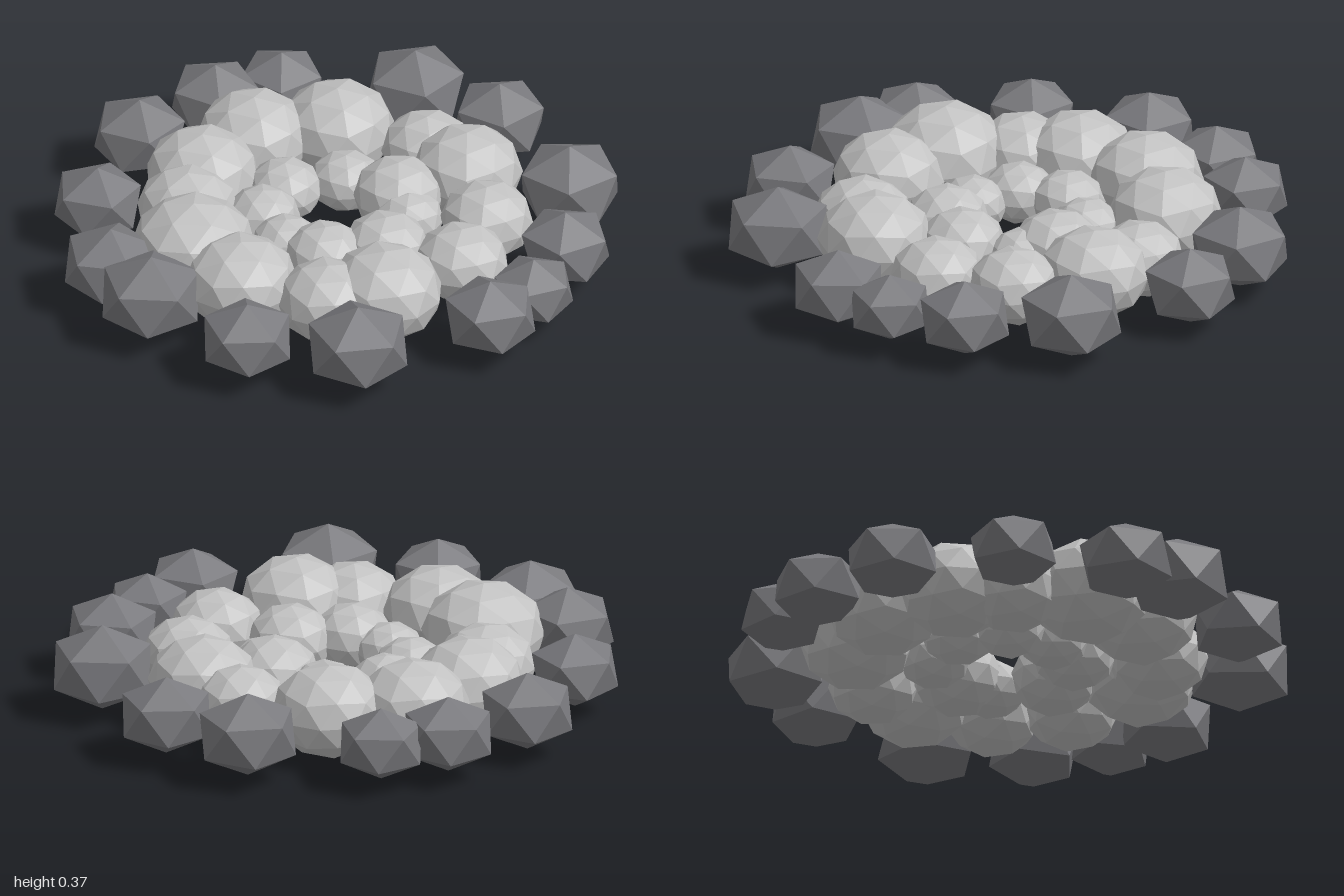
import * as THREE from 'three';

// Each lump: x, z, radius
const OUTER_PUFFS = [
  [-0.05, -0.55, 0.207], [0.28, -0.48, 0.165], [0.44, -0.33, 0.2], [0.54, -0.05, 0.168],
  [0.48, 0.23, 0.17], [0.23, 0.47, 0.208], [0.03, 0.53, 0.18], [-0.29, 0.46, 0.205],
  [-0.48, 0.27, 0.225], [-0.53, 0.0, 0.183], [-0.5, -0.21, 0.205], [-0.34, -0.46, 0.207],
];
const INNER_PUFFS = [
  [-0.2, -0.19, 0.135], [0.01, -0.27, 0.13], [0.21, -0.18, 0.165], [0.26, -0.06, 0.125],
  [0.2, 0.16, 0.158], [-0.01, 0.23, 0.15], [-0.16, 0.15, 0.125], [-0.26, -0.01, 0.133],
];
const ROCKS = [
  [0.2, -0.835, 0.195], [0.52, -0.68, 0.181], [0.815, -0.275, 0.2], [0.84, 0.105, 0.178],
  [0.755, 0.38, 0.158], [0.62, 0.575, 0.18], [0.17, 0.825, 0.2], [-0.23, 0.81, 0.178],
  [-0.6, 0.585, 0.2], [-0.765, 0.395, 0.185], [-0.855, -0.01, 0.173], [-0.75, -0.44, 0.182],
  [-0.505, -0.7, 0.177], [-0.28, -0.82, 0.168],
];

// Faceted ball with one corner pointing straight up
function facetedBall(detail) {
  const g = new THREE.IcosahedronGeometry(1, detail);
  g.rotateZ(-Math.atan(2 / (1 + Math.sqrt(5))));
  g.computeVertexNormals(); // unshared corners, so this gives flat facets
  return g;
}

// Ring of squashed lumps sharing one geometry
function lumpRing(name, partName, lumps, geometry, material, squash, lift) {
  const ring = new THREE.Group();
  ring.name = name;
  lumps.forEach(([x, z, r], i) => {
    const lump = new THREE.Mesh(geometry, material);
    lump.name = `${partName}${i + 1}`;
    lump.position.set(x, lift + 0.45 * r, z);
    lump.scale.set(r, r * squash, r);
    lump.rotation.y = i * 2.4; // vary how the facets face
    ring.add(lump);
  });
  return ring;
}

export function createModel() {
  const paleGrey = new THREE.MeshStandardMaterial({ color: 0xc2c2c2 });
  paleGrey.name = 'paleGrey';
  const darkGrey = new THREE.MeshStandardMaterial({ color: 0x7a7a7e });
  darkGrey.name = 'darkGrey';

  const puff = facetedBall(1);
  const rock = facetedBall(0);

  const model = new THREE.Group();
  model.name = 'dustRing';
  model.add(
    lumpRing('outerPuffs', 'outerPuff', OUTER_PUFFS, puff, paleGrey, 0.82, 0.084),
    lumpRing('innerPuffs', 'innerPuff', INNER_PUFFS, puff, paleGrey, 0.82, 0.084),
    lumpRing('rockRing', 'rock', ROCKS, rock, darkGrey, 0.8, 0.092),
  );
  return model;
}
